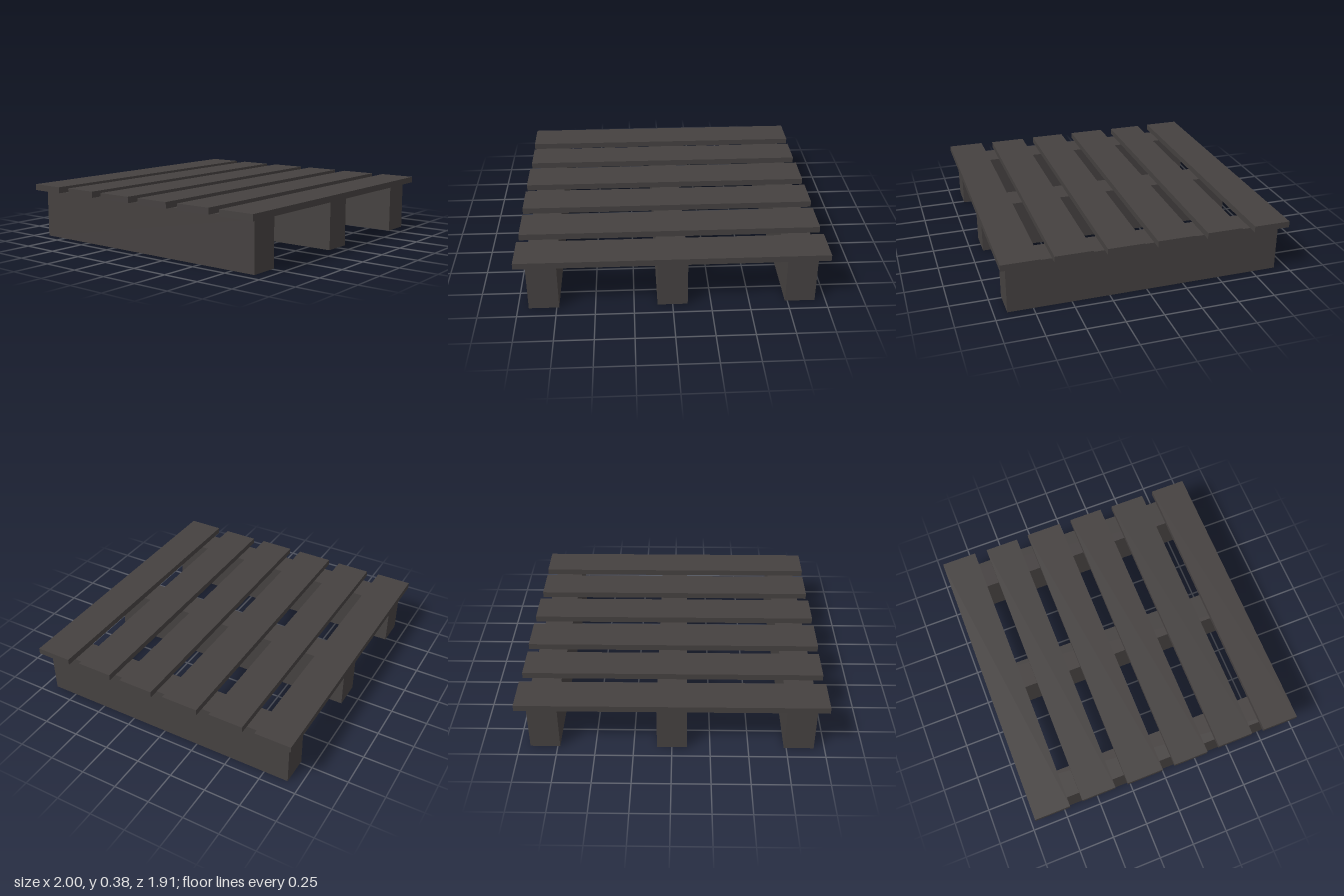
import * as THREE from 'three';

export function createModel() {
  const group = new THREE.Group();
  const darkWood = new THREE.MeshStandardMaterial({ color: 0x454140 });
  darkWood.name = 'darkWood';

  // Box given by its lower and upper limits on each axis
  function board(name, [x0, x1], [y0, y1], [z0, z1]) {
    const mesh = new THREE.Mesh(new THREE.BoxGeometry(x1 - x0, y1 - y0, z1 - z0), darkWood);
    mesh.position.set((x0 + x1) / 2, (y0 + y1) / 2, (z0 + z1) / 2);
    mesh.name = name;
    group.add(mesh);
  }

  // Three beams running front to back
  [-0.832, 0, 0.832].forEach((x, i) => {
    board(`beam${i + 1}`, [x - 0.098, x + 0.098], [0, 0.332], [-0.916, 0.916]);
  });

  // Six slightly uneven deck planks, back to front: z limits and half length
  const planks = [
    [-0.957, -0.71, 1],
    [-0.621, -0.384, 0.994],
    [-0.297, -0.043, 1],
    [0.044, 0.286, 1],
    [0.373, 0.622, 0.994],
    [0.707, 0.957, 1],
  ];
  planks.forEach(([z0, z1, half], i) => {
    board(`plank${i + 1}`, [-half, half], [0.334, 0.376], [z0, z1]);
  });

  return group;
}
